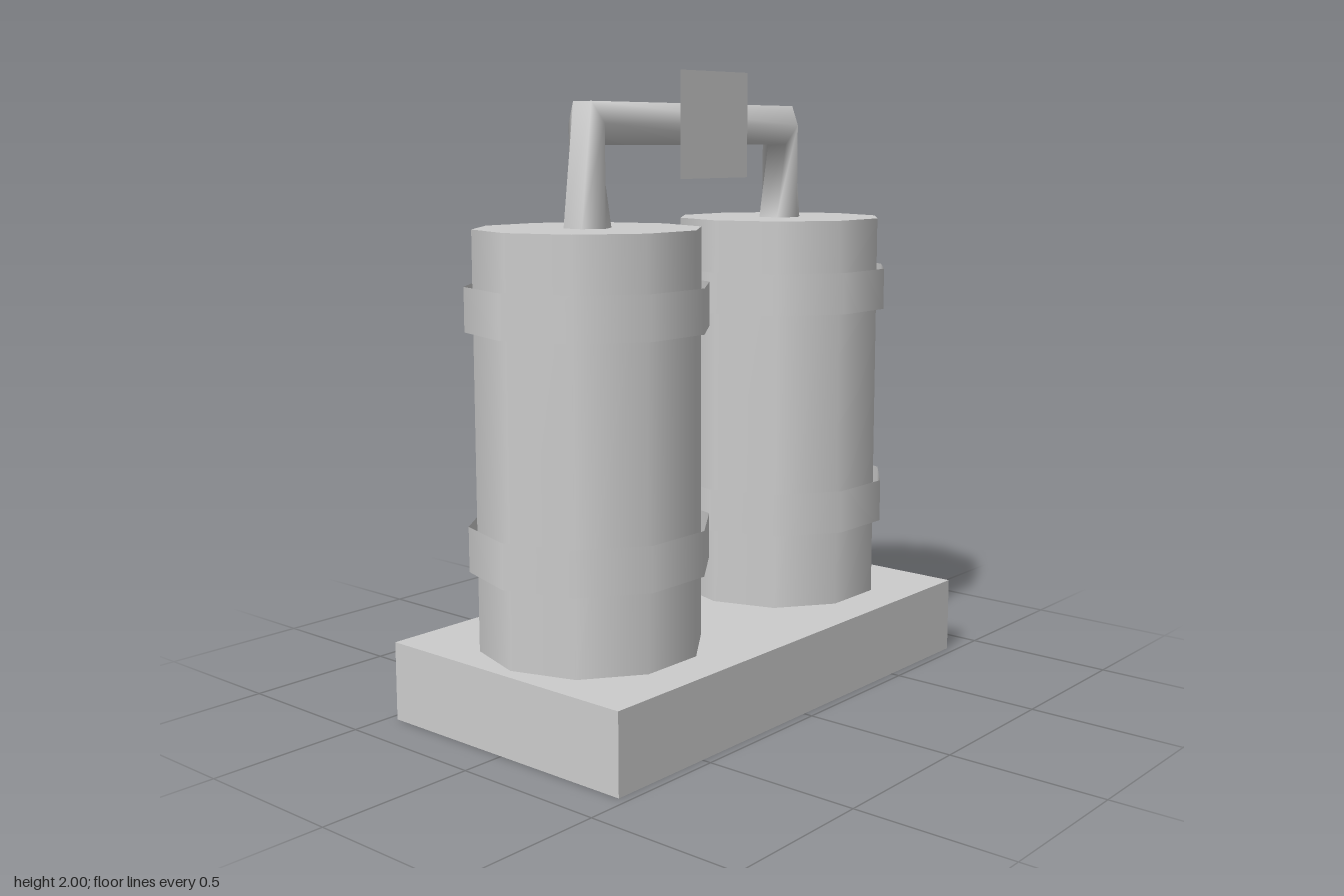
import * as THREE from 'three';

export function createModel() {
  const group = new THREE.Group();
  const grey = new THREE.MeshStandardMaterial({ color: 0xcccccc });
  grey.name = 'light grey';
  const greyThin = grey.clone(); // same colour, for open surfaces
  greyThin.side = THREE.DoubleSide;

  function add(name, geometry, material, x, y, z = 0) {
    const mesh = new THREE.Mesh(geometry, material);
    mesh.name = name;
    mesh.position.set(x, y, z);
    group.add(mesh);
  }

  // Ten-sided cylinder with corners on the x axis
  const drum = (r, h, open) =>
    new THREE.CylinderGeometry(r, r, h, 10, 1, open, Math.PI / 2);

  // Base slab
  add('base', new THREE.BoxGeometry(1.72, 0.25, 0.94), grey, 0, 0.125);

  // Two tanks, each with two open hoops
  for (const side of [-1, 1]) {
    const label = side > 0 ? 'left' : 'right';
    const x = side * 0.47;
    add(label + 'Tank', drum(0.347, 1.28, false), grey, x, 0.89);
    add(label + 'LowerHoop', drum(0.373, 0.14, true), greyThin, x, 0.57);
    add(label + 'UpperHoop', drum(0.373, 0.135, true), greyThin, x, 1.295);
  }

  // Connecting pipe: six-sided rings, [centre x, centre y, x per offset, y per offset]
  const rings = [
    [-0.4725, 1.53, -1, 0],
    [-0.4725, 1.8375, -0.28, 1],
    [0.4725, 1.8375, 0.28, 1],
    [0.4725, 1.53, 1, 0],
  ];
  const sides = 6, radius = 0.074;
  const positions = [], index = [];
  rings.forEach(([cx, cy, dx, dy], i) => {
    for (let k = 0; k < sides; k++) {
      const a = (k + 0.5) * Math.PI * 2 / sides;
      const n = Math.cos(a) * radius;
      positions.push(cx + dx * n, cy + dy * n, Math.sin(a) * radius);
      if (i === rings.length - 1) continue;
      const p = i * sides + k, q = i * sides + (k + 1) % sides;
      index.push(p, q, q + sides, p, q + sides, p + sides);
    }
  });
  const pipe = new THREE.BufferGeometry();
  pipe.setAttribute('position', new THREE.Float32BufferAttribute(positions, 3));
  pipe.setIndex(index);
  pipe.computeVertexNormals();
  add('connectingPipe', pipe, greyThin, 0, 0);

  // Flat sign panel in front of the pipe
  add('signPanel', new THREE.PlaneGeometry(0.33, 0.33), greyThin, 0, 1.835, 0.1);

  return group;
}
